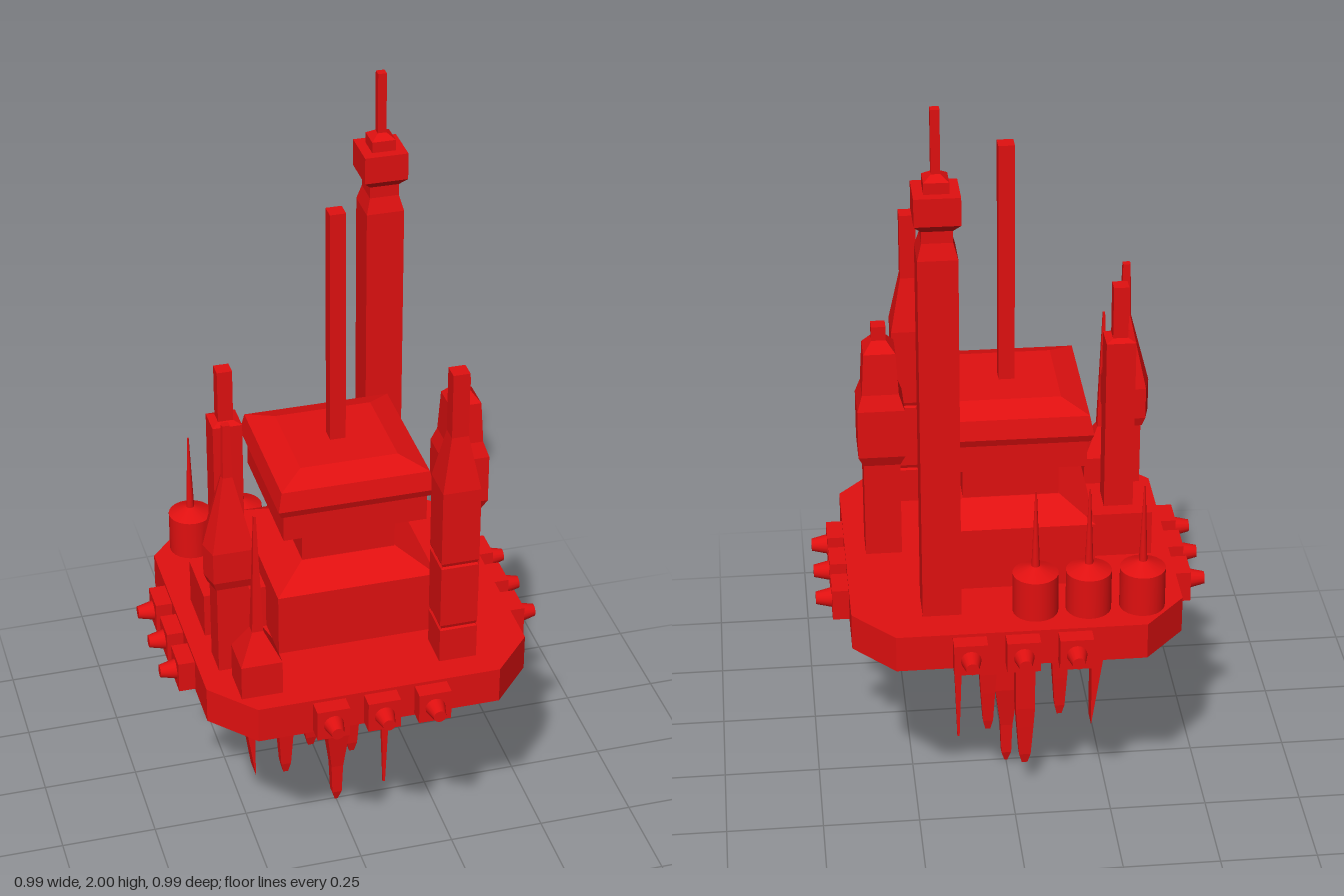
import * as THREE from 'three';

const red = new THREE.MeshStandardMaterial({ color: 0xe01010, flatShading: true });
const smoothRed = new THREE.MeshStandardMaterial({ color: 0xe01010 });

// Outlines as [x, z], running from the front round by the left (+x)
const SQUARE = [[-1, 1], [1, 1], [1, -1], [-1, -1]];
const OCTAGON = [[-0.31, 0.413], [0.31, 0.413], [0.413, 0.3], [0.413, -0.3],
  [0.31, -0.413], [-0.31, -0.413], [-0.413, -0.3], [-0.413, 0.3]];
const PENTAGON = [[-0.95, 1], [1, 1], [1, -1], [-0.95, -1], [-1.2, 0]];

export function createModel() {
  const model = new THREE.Group();

  function add(name, geometry, x = 0, y = 0, z = 0, material = red) {
    const mesh = new THREE.Mesh(geometry, material);
    mesh.name = name;
    mesh.position.set(x, y, z);
    model.add(mesh);
    return mesh;
  }

  // Closed stack of [y, half width] rings, bottom to top, on an outline
  function stack(rings, outline = SQUARE) {
    const first = rings[0], last = rings[rings.length - 1];
    const all = [[first[0], 0], ...rings, [last[0], 0]];
    const geo = new THREE.LatheGeometry(all.map(([y, r]) => new THREE.Vector2(r, y)), outline.length);
    const pos = geo.attributes.position;
    for (let i = 0; i < pos.count; i++) {
      const [ox, oz] = outline[Math.floor(i / all.length) % outline.length];
      const [y, r] = all[i % all.length];
      pos.setXYZ(i, ox * r, y, oz * r);
    }
    geo.computeVertexNormals();
    return geo;
  }

  // Platform
  add('platform', stack([[0.575, 1], [0.672, 1]], OCTAGON));

  // Three ports with nozzles on each side
  for (let side = 0; side < 4; side++) {
    const group = new THREE.Group();
    group.name = 'portRow';
    group.rotation.y = side * Math.PI / 2;
    for (const x of [-0.13, 0, 0.13]) {
      const box = new THREE.Mesh(new THREE.BoxGeometry(0.083, 0.083, 0.05), red);
      box.name = 'portBlock';
      box.position.set(x, 0.622, 0.43);
      const nozzle = new THREE.Mesh(new THREE.CylinderGeometry(0.016, 0.026, 0.042, 16), smoothRed);
      nozzle.name = 'portNozzle';
      nozzle.rotation.x = Math.PI / 2;
      nozzle.position.set(x, 0.622, 0.474);
      group.add(box, nozzle);
    }
    model.add(group);
  }

  // Central hall with neck, overhanging roof and mast
  add('hallBase', stack([[0.67, 0.204], [0.84, 0.204], [0.887, 0.122]]));
  add('hallNeck', stack([[0.88, 0.12], [1, 0.12]]));
  add('hallUpper', stack([[0.997, 0.183], [1.068, 0.183], [1.07, 0.19], [1.09, 0.198],
    [1.14, 0.188], [1.163, 0.124]]));
  add('hallMast', stack([[1.16, 0.02], [1.79, 0.02]]));

  // Tall tower at the back
  add('tallTower', stack([[0.67, 0.048], [1.64, 0.048], [1.68, 0.037], [1.71, 0.037], [1.73, 0.055],
    [1.8, 0.055], [1.8, 0.03], [1.828, 0.03], [1.842, 0.011], [2, 0.011]]), 0.19, 0, -0.275);

  // Front tower with shallow grooves
  add('frontTower', stack([[0.67, 0.048], [0.765, 0.048], [0.77, 0.044], [0.78, 0.048], [0.95, 0.048],
    [0.955, 0.044], [0.965, 0.048], [1.17, 0.048], [1.31, 0.021], [1.484, 0.021]]), 0.222, 0, 0.293);

  // Stepped tower on the left
  add('steppedTower', stack([[0.67, 0.046], [0.93, 0.046], [0.96, 0.059], [1.09, 0.059], [1.13, 0.046],
    [1.24, 0.04], [1.255, 0.028], [1.268, 0.018], [1.305, 0.018]]), 0.314, 0, 0.033);

  // Block tower on the right
  add('blockTowerBase', stack([[0.67, 0.08], [0.793, 0.08]]), -0.285, 0, 0);
  add('blockTower', stack([[0.79, 0.037], [1.255, 0.037], [1.262, 0.019], [1.4, 0.019]]), -0.284, 0, 0);

  // Spindle tower on the right
  add('spindleShaft', stack([[0.67, 0.04], [0.93, 0.04]]), -0.325, 0, 0.193);
  add('spindleHead', stack([[0.92, 0.045], [0.945, 0.053], [1.03, 0.053], [1.22, 0.012], [1.365, 0.009]],
    PENTAGON), -0.325, 0, 0.193);

  // Small turret with a thin spire
  add('turret', stack([[0.67, 0.052], [0.765, 0.052], [0.84, 0.014], [1.17, 0.003]]), -0.286, 0, 0.309);

  // Storage tanks with needle spires
  for (const x of [-0.308, -0.174, -0.042]) {
    add('tank', new THREE.CylinderGeometry(0.057, 0.057, 0.11, 24), x, 0.725, -0.317, smoothRed);
    add('tankRoof', new THREE.CylinderGeometry(0.011, 0.057, 0.02, 24), x, 0.79, -0.317, smoothRed);
    add('tankSpire', new THREE.CylinderGeometry(0.002, 0.011, 0.22, 12), x, 0.9, -0.317, smoothRed);
  }

  // Underside: disc, central block and hanging spikes
  add('undersideDisc', new THREE.CylinderGeometry(0.102, 0.102, 0.06, 32), 0.2, 0.55, -0.188, smoothRed);
  add('undersideBlock', stack([[0.413, 0.082], [0.58, 0.082]]));
  add('centralSpike', stack([[0, 0.004], [0.03, 0.013], [0.12, 0.016], [0.24, 0.03], [0.42, 0.03]]));

  // Each spike: x, z, tip height, half width
  for (const [x, z, tip, w] of [[-0.143, 0.01, 0.135, 0.022], [-0.035, -0.138, 0.09, 0.025],
    [0.052, -0.035, 0.13, 0.022]]) {
    add('spike', stack([[tip, w * 0.3], [tip + 0.03, w * 0.6], [tip + 0.12, w * 0.85],
      [tip + 0.18, w], [0.58, w]]), x, 0, z);
  }
  add('needleSpike', stack([[0.06, 0.003], [0.36, 0.012], [0.58, 0.013]]), 0.124, 0, 0.035);

  // Flat blade with a slanting outer edge
  const blade = new THREE.Shape([[-0.222, 0.13], [-0.22, 0.58], [-0.255, 0.58], [-0.255, 0.36]]
    .map(([x, y]) => new THREE.Vector2(x, y)));
  add('bladeSpike', new THREE.ExtrudeGeometry(blade, { depth: 0.055, bevelEnabled: false }), 0, 0, -0.05);

  return model;
}
